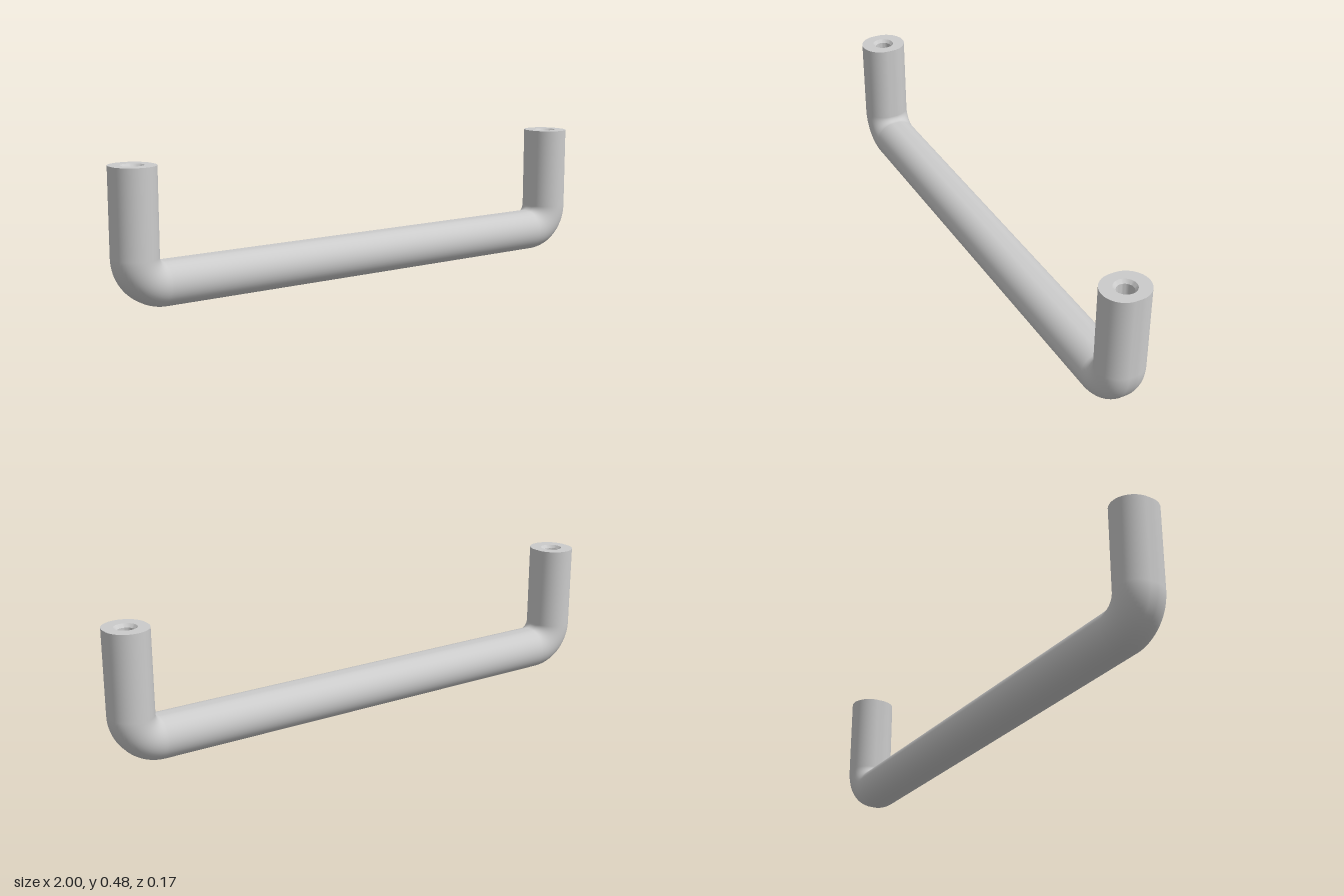
import * as THREE from 'three';
import { toCreasedNormals } from 'three/addons/utils/BufferGeometryUtils.js';

const HALF = 0.077;        // half thickness in the plane of the bend
const FLAT = 0.009;        // half of the short flat in the rounded section
const BEND = 0.097;        // centre-line bend radius
const BEND_X = 0.826, BEND_Y = 0.174, TOP = 0.48;
const LEG_X = BEND_X + BEND;
const SIDES = 48, BEND_STEPS = 20;

// Rounded cross-section: two half circles joined by short flats.
function section() {
  const points = [];
  for (let j = 0; j < SIDES; j++) {
    const a = ((j + 0.5) / SIDES) * Math.PI * 2;
    points.push(new THREE.Vector2(HALF * Math.cos(a), HALF * Math.sin(a) + FLAT * Math.sign(Math.sin(a))));
  }
  return points;
}

// Stations along the handle: centre point and the outward direction of the bend.
function stations() {
  const list = [{ x: -LEG_X, y: TOP, a: Math.PI }];
  for (const [side, start] of [[-1, Math.PI], [1, Math.PI * 1.5]]) {
    for (let i = 0; i <= BEND_STEPS; i++) {
      const a = start + (i / BEND_STEPS) * Math.PI / 2;
      list.push({ x: side * BEND_X + BEND * Math.cos(a), y: BEND_Y + BEND * Math.sin(a), a });
    }
  }
  list.push({ x: LEG_X, y: TOP, a: Math.PI * 2 });
  return list;
}

function sweepBar() {
  const ring = section(), path = stations(), positions = [], index = [];
  path.forEach((s, i) => {
    for (const p of ring) positions.push(s.x + p.x * Math.cos(s.a), s.y + p.x * Math.sin(s.a), p.y);
    if (i === path.length - 1) return;
    for (let j = 0; j < SIDES; j++) {
      const k = (j + 1) % SIDES;
      const a = i * SIDES + j, b = i * SIDES + k, c = a + SIDES, d = b + SIDES;
      index.push(a, c, b, b, c, d);
    }
  });
  const geometry = new THREE.BufferGeometry();
  geometry.setAttribute('position', new THREE.Float32BufferAttribute(positions, 3));
  geometry.setIndex(index);
  geometry.computeVertexNormals();
  return geometry;
}

export function createModel() {
  const model = new THREE.Group();
  model.name = 'barHandle';
  const material = new THREE.MeshStandardMaterial({ color: 0xcccccc });
  const add = (name, geometry, x = 0, y = 0) => {
    const mesh = new THREE.Mesh(geometry, material);
    mesh.name = name;
    mesh.position.set(x, y, 0);
    model.add(mesh);
  };

  // Grip, bends and legs in one sweep
  add('bentBar', sweepBar());

  // Flat leg ends with a round opening
  const end = new THREE.Shape(section());
  end.holes.push(new THREE.Path().absarc(0, 0, 0.04, 0, Math.PI * 2, true));
  const endFace = new THREE.ShapeGeometry(end, 16).rotateX(-Math.PI / 2);

  // Countersunk screw hole with a drill-point bottom
  const profile = [[0.04, 0], [0.03, -0.012], [0.03, -0.2], [0, -0.217]];
  const bore = toCreasedNormals(
    new THREE.LatheGeometry(profile.map(([r, y]) => new THREE.Vector2(r, y)), 32), 0.5);

  for (const [side, x] of [['left', LEG_X], ['right', -LEG_X]]) {
    add(side + 'EndFace', endFace, x, TOP);
    add(side + 'ScrewHole', bore, x, TOP);
  }
  return model;
}
